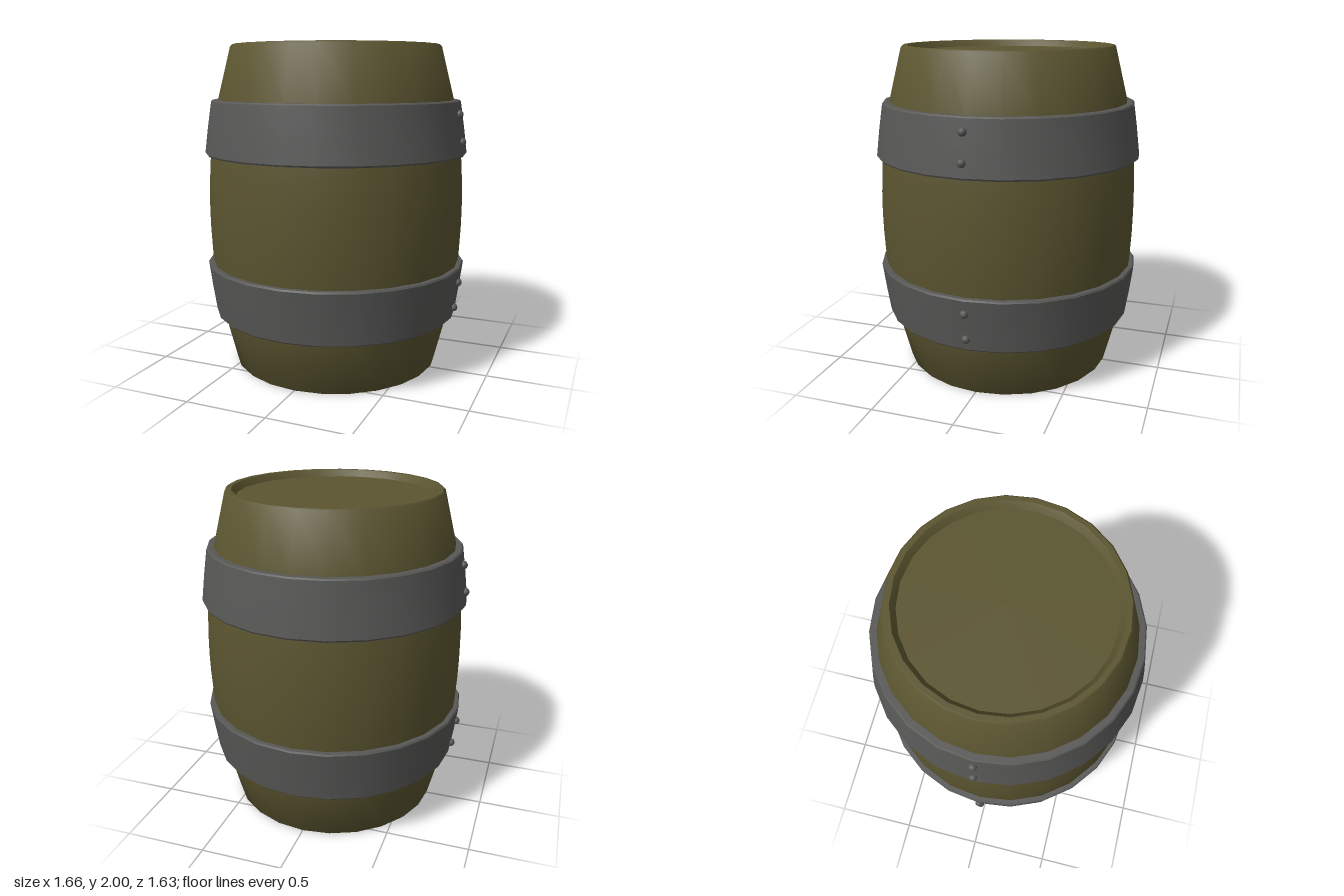
import * as THREE from 'three';
import { toCreasedNormals } from 'three/addons/utils/BufferGeometryUtils.js';

const SIDES = 24;

// Turned solid: smooth around, sharp where the profile bends hard
function turned(points) {
  const profile = points.map(([r, y]) => new THREE.Vector2(r, y));
  return toCreasedNormals(new THREE.LatheGeometry(profile, SIDES), 0.6);
}

export function createModel() {
  const wood = new THREE.MeshStandardMaterial({ name: 'wood', color: 0x5b5530 });
  const iron = new THREE.MeshStandardMaterial({ name: 'iron', color: 0x585857 });
  const barrel = new THREE.Group();
  barrel.name = 'barrel';

  // Bulging body with a recessed lid at each end
  const lower = [
    [0, 0.04], [0.58, 0.04], [0.6, 0.01], [0.608, 0], [0.637, 0], [0.647, 0.01],
    [0.728, 0.33], [0.768, 0.55], [0.786, 0.72], [0.794, 0.88],
  ];
  const upper = lower.map(([r, y]) => [r, 2 - y]).reverse();
  const body = new THREE.Mesh(turned([...lower, [0.796, 1], ...upper]), wood);
  body.name = 'body';
  barrel.add(body);

  // Hoop with two rivets on each side, built for the lower half
  const hoopGeometry = turned([
    [0.72, 0.335], [0.762, 0.335], [0.77, 0.343], [0.794, 0.5], [0.814, 0.655],
    [0.808, 0.665], [0.775, 0.665], [0.75, 0.5], [0.72, 0.335],
  ]);
  const rivetGeometry = new THREE.SphereGeometry(0.025, 12, 8);

  for (const name of ['lowerHoop', 'upperHoop']) {
    const group = new THREE.Group();
    group.name = name;
    const hoop = new THREE.Mesh(hoopGeometry, iron);
    hoop.name = 'hoop';
    group.add(hoop);
    for (const side of [-1, 1]) {
      for (const [r, y] of [[0.782, 0.413], [0.803, 0.575]]) {
        const rivet = new THREE.Mesh(rivetGeometry, iron);
        rivet.name = 'rivet';
        rivet.position.set(side * r, y, 0);
        group.add(rivet);
      }
    }
    // The upper hoop is the lower one turned upside down
    if (name === 'upperHoop') {
      group.rotation.x = Math.PI;
      group.position.y = 2.005;
    }
    barrel.add(group);
  }

  return barrel;
}
